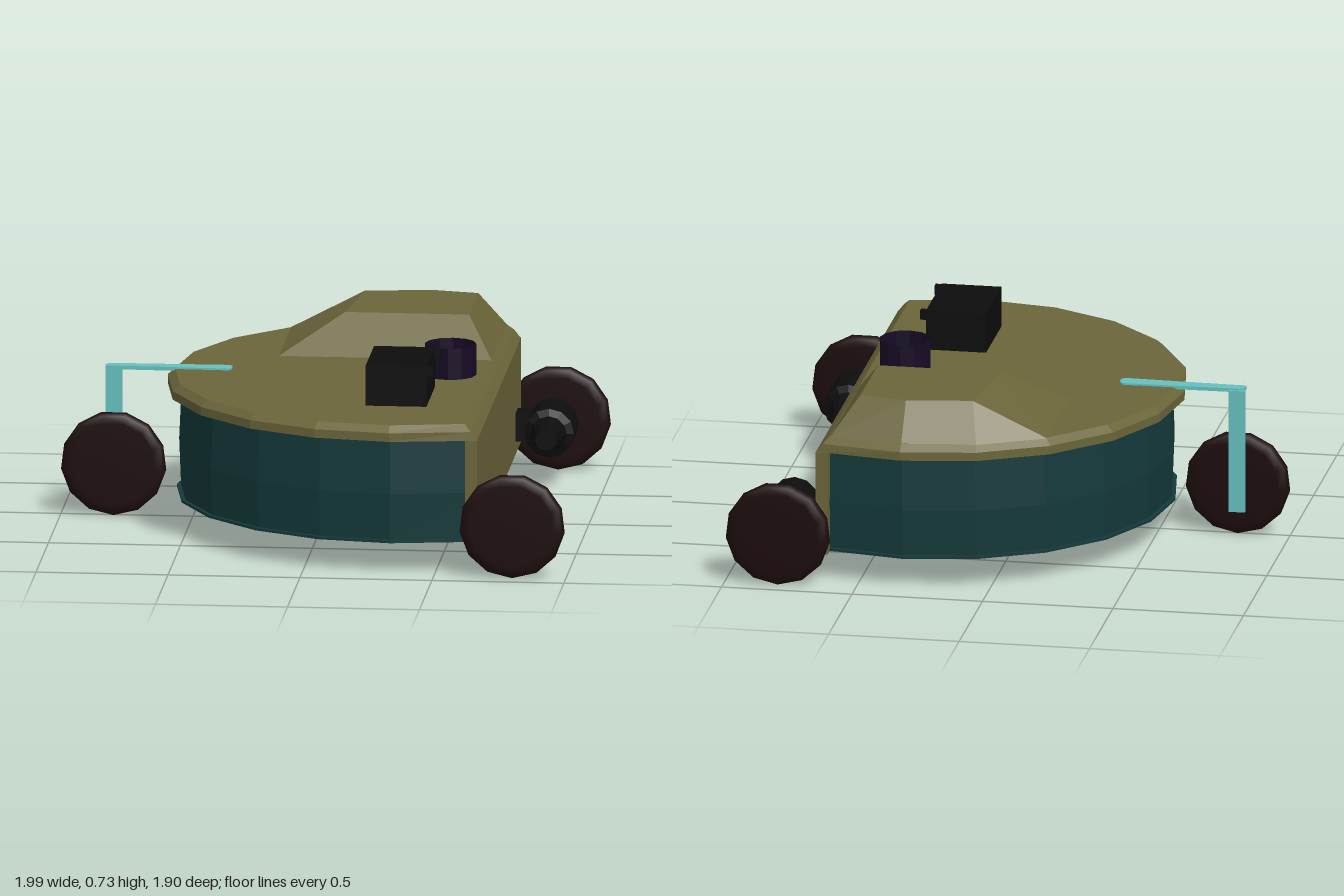
import * as THREE from 'three';
import { ConvexGeometry } from 'three/addons/geometries/ConvexGeometry.js';

const mat = (color, extra = {}) => new THREE.MeshStandardMaterial({ color, ...extra });
const tan = mat(0x6b653a, { flatShading: true });
const teal = mat(0x14393a, { flatShading: true });
const black = mat(0x0d0d0d, { flatShading: true });
const tyre = mat(0x1c0b0b);
const purple = mat(0x160b26, { side: THREE.DoubleSide, flatShading: true });
const cyan = mat(0x66c0c0);

function add(parent, name, geometry, material, x = 0, y = 0, z = 0) {
  const mesh = new THREE.Mesh(geometry, material);
  mesh.name = name;
  mesh.position.set(x, y, z);
  parent.add(mesh);
  return mesh;
}

// Box given by its limits
function block(parent, name, material, [x0, x1], [y0, y1], [z0, z1]) {
  return add(parent, name, new THREE.BoxGeometry(x1 - x0, y1 - y0, z1 - z0), material,
    (x0 + x1) / 2, (y0 + y1) / 2, (z0 + z1) / 2);
}

// D-shaped outline: half a 20-sided disc, cut straight at xMax
function outline(r, xMax, y) {
  const pts = [new THREE.Vector3(xMax, y, -r * 0.945)];
  for (let i = -5; i <= 5; i++) {
    const a = i * Math.PI / 10;
    pts.push(new THREE.Vector3(0.33 - r * Math.cos(a), y, r * Math.sin(a)));
  }
  pts.push(new THREE.Vector3(xMax, y, r * 0.945));
  return pts;
}

// Closed solid through stacked [radius, xMax, y] outlines
function loft(levels) {
  const loops = levels.map(l => outline(...l));
  const out = [];
  const tri = (...p) => p.forEach(v => out.push(v.x, v.y, v.z));
  const n = loops[0].length;
  for (let k = 0; k + 1 < loops.length; k++) {
    const a = loops[k], b = loops[k + 1];
    for (let i = 0; i < n; i++) {
      const j = (i + 1) % n;
      tri(a[i], a[j], b[j]);
      tri(a[i], b[j], b[i]);
    }
  }
  const bottom = loops[0], top = loops[loops.length - 1];
  for (let i = 1; i < n - 1; i++) {
    tri(top[0], top[i], top[i + 1]);
    tri(bottom[0], bottom[i + 1], bottom[i]);
  }
  const g = new THREE.BufferGeometry();
  g.setAttribute('position', new THREE.Float32BufferAttribute(out, 3));
  g.computeVertexNormals();
  return g;
}

// Lathe about the z axis from [radius, z] pairs
function latheZ(profile, sides) {
  const g = new THREE.LatheGeometry(profile.map(p => new THREE.Vector2(...p)), sides);
  return g.rotateX(Math.PI / 2);
}

export function createModel() {
  const model = new THREE.Group();
  model.name = 'rover';

  // Hull, floor and overhanging deck
  add(model, 'hull', loft([[0.875, 0.615, 0.12], [0.882, 0.615, 0.3], [0.872, 0.615, 0.515]]), teal);
  add(model, 'floor', loft([[0.89, 0.615, 0.112], [0.89, 0.615, 0.122]]), teal);
  add(model, 'deck', loft([[0.925, 0.66, 0.512], [0.925, 0.635, 0.545], [0.897, 0.61, 0.57]]), tan);
  block(model, 'nosePanel', tan, [0.615, 0.66], [0.11, 0.514], [-0.885, 0.885]);

  // Faceted raised cover on one side of the deck
  const hump = [
    [-0.2, 0.568, -0.235], [0.61, 0.568, -0.235], [0.61, 0.568, -0.855],
    [0.33, 0.568, -0.897], [0.05, 0.568, -0.855], [-0.2, 0.568, -0.73],
    [0.04, 0.71, -0.39], [0.51, 0.71, -0.39], [0.51, 0.71, -0.757],
    [0.33, 0.71, -0.795], [0.08, 0.71, -0.757],
  ].map(p => new THREE.Vector3(...p));
  add(model, 'raisedCover', new ConvexGeometry(hump), tan);

  // Equipment on deck
  block(model, 'equipmentBox', black, [0.21, 0.44], [0.573, 0.728], [0.25, 0.585]);
  for (const z of [0.25, 0.56]) {
    block(model, 'boxTab', black, [0.44, 0.463], [0.69, 0.726], [z, z + 0.025]);
  }
  add(model, 'sensorDrum', new THREE.CylinderGeometry(0.097, 0.097, 0.12, 12, 1, true), purple, 0.478, 0.63, 0.015);

  // Wheels
  const wheelGeo = latheZ([[0, -0.025], [0.16, -0.025], [0.19, -0.02], [0.2, -0.008],
    [0.2, 0.008], [0.19, 0.02], [0.16, 0.025], [0, 0.025]], 13);

  // Drive motor: hub, gearbox, tapered tail
  const motorGeo = latheZ([[0, -0.46], [0.042, -0.46], [0.068, -0.565], [0.095, -0.575],
    [0.095, -0.765], [0.08, -0.77], [0.08, -0.8], [0.066, -0.805], [0.066, -0.875], [0, -0.875]]
    .reverse(), 12);

  for (const s of [-1, 1]) {
    const drive = new THREE.Group();
    drive.name = s > 0 ? 'driveUnitFront' : 'driveUnitBack';
    add(drive, 'wheel', wheelGeo, tyre, 0.797, 0.197, s * 0.925);
    const motor = add(drive, 'motor', motorGeo, black, 0.795, 0.215, 0);
    if (s > 0) motor.rotation.y = Math.PI;
    const z = s * 0.71;
    block(drive, 'motorMount', black, [0.655, 0.73], [0.16, 0.27], [z - 0.045, z + 0.045]);
    model.add(drive);
  }

  // Trailing caster with flat post and deck arm
  const caster = new THREE.Group();
  caster.name = 'caster';
  add(caster, 'wheel', wheelGeo, tyre, -0.8, 0.197, 0.002);
  block(caster, 'post', cyan, [-0.833, -0.77], [0.09, 0.57], [-0.038, -0.018]);
  const arm = new THREE.Shape();
  arm.moveTo(-0.83, -0.02);
  arm.lineTo(-0.37, -0.032);
  arm.quadraticCurveTo(-0.35, -0.03, -0.35, 0);
  arm.quadraticCurveTo(-0.35, 0.03, -0.37, 0.032);
  arm.lineTo(-0.81, 0.024);
  arm.quadraticCurveTo(-0.835, 0.02, -0.83, -0.02);
  const armGeo = new THREE.ExtrudeGeometry(arm, { depth: 0.014, bevelEnabled: false, curveSegments: 4 });
  armGeo.rotateX(-Math.PI / 2);
  const armMesh = add(caster, 'arm', armGeo, cyan, 0, 0.563, -0.005);
  armMesh.rotation.y = 0;
  model.add(caster);

  return model;
}
